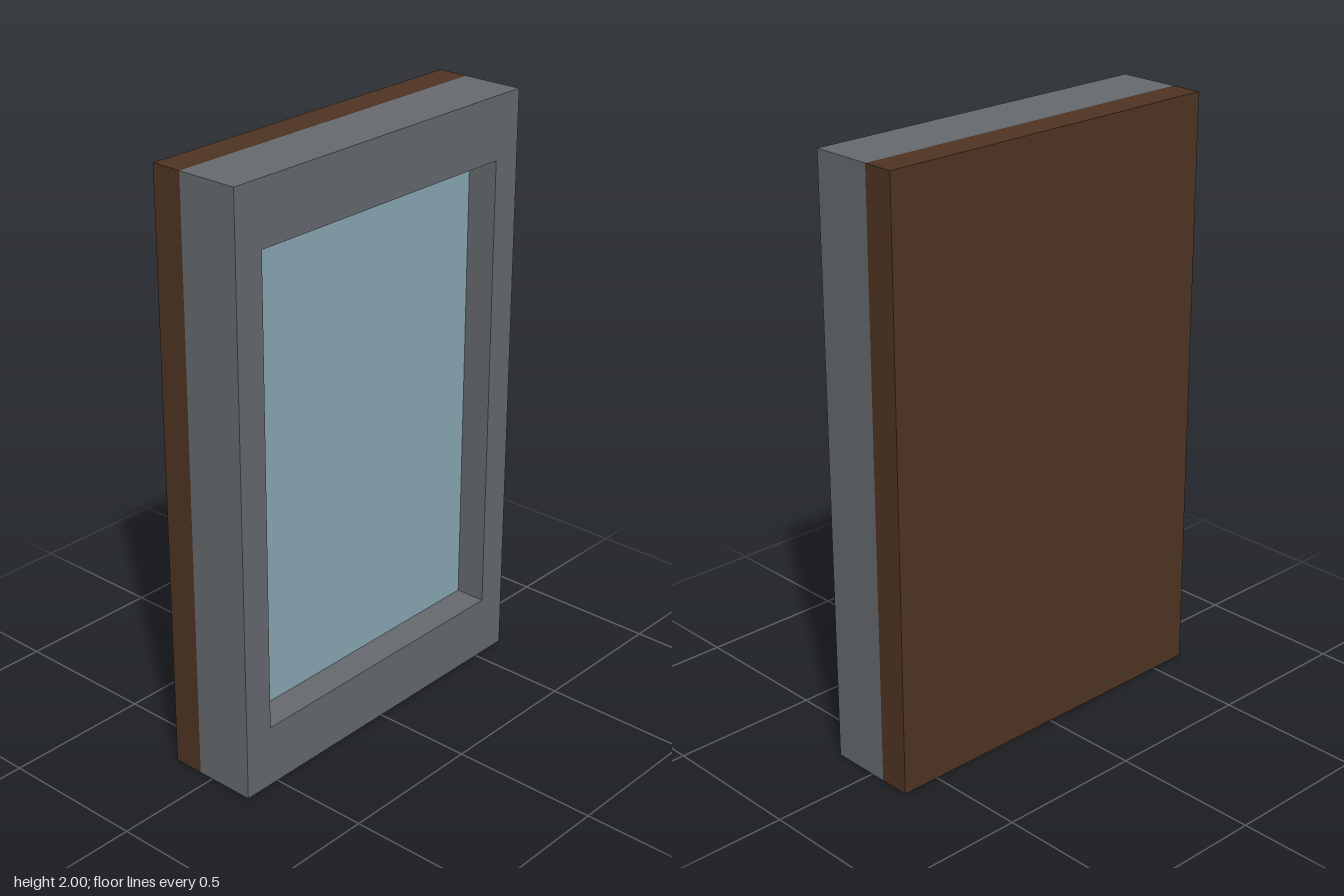
import * as THREE from 'three';

const W = 1.264, H = 2, D = 0.316;      // overall size
const OPEN_W = 1.054, OPEN_H = 1.58;    // opening in the frame
const SEAM = -D / 6;                    // plane where frame meets backing
const GLASS_FRONT = D / 6;              // recessed pane surface

export function createModel() {
  const group = new THREE.Group();
  const material = (name, color) => {
    const m = new THREE.MeshStandardMaterial({ color });
    m.name = name;
    return m;
  };
  const add = (name, geometry, mat, y, z) => {
    const mesh = new THREE.Mesh(geometry, mat);
    mesh.name = name;
    mesh.position.set(0, y, z);
    group.add(mesh);
  };
  const rect = (target, w, h) => target
    .moveTo(-w / 2, -h / 2).lineTo(w / 2, -h / 2)
    .lineTo(w / 2, h / 2).lineTo(-w / 2, h / 2).closePath();

  // Front frame with a rectangular opening
  const outline = rect(new THREE.Shape(), W, H);
  outline.holes.push(rect(new THREE.Path(), OPEN_W, OPEN_H));
  const frame = new THREE.ExtrudeGeometry(outline, { depth: D / 2 - SEAM, bevelEnabled: false });
  add('frame', frame, material('grey metal', 0x66696e), H / 2, SEAM);

  // Pane set back inside the opening
  const paneDepth = GLASS_FRONT - SEAM;
  add('pane', new THREE.BoxGeometry(OPEN_W, OPEN_H, paneDepth),
    material('pale blue glass', 0x8aa9b4), H / 2, SEAM + paneDepth / 2);

  // Solid wooden backing
  const backDepth = SEAM + D / 2;
  add('backing', new THREE.BoxGeometry(W, H, backDepth),
    material('dark brown wood', 0x4e3422), H / 2, -D / 2 + backDepth / 2);

  return group;
}
